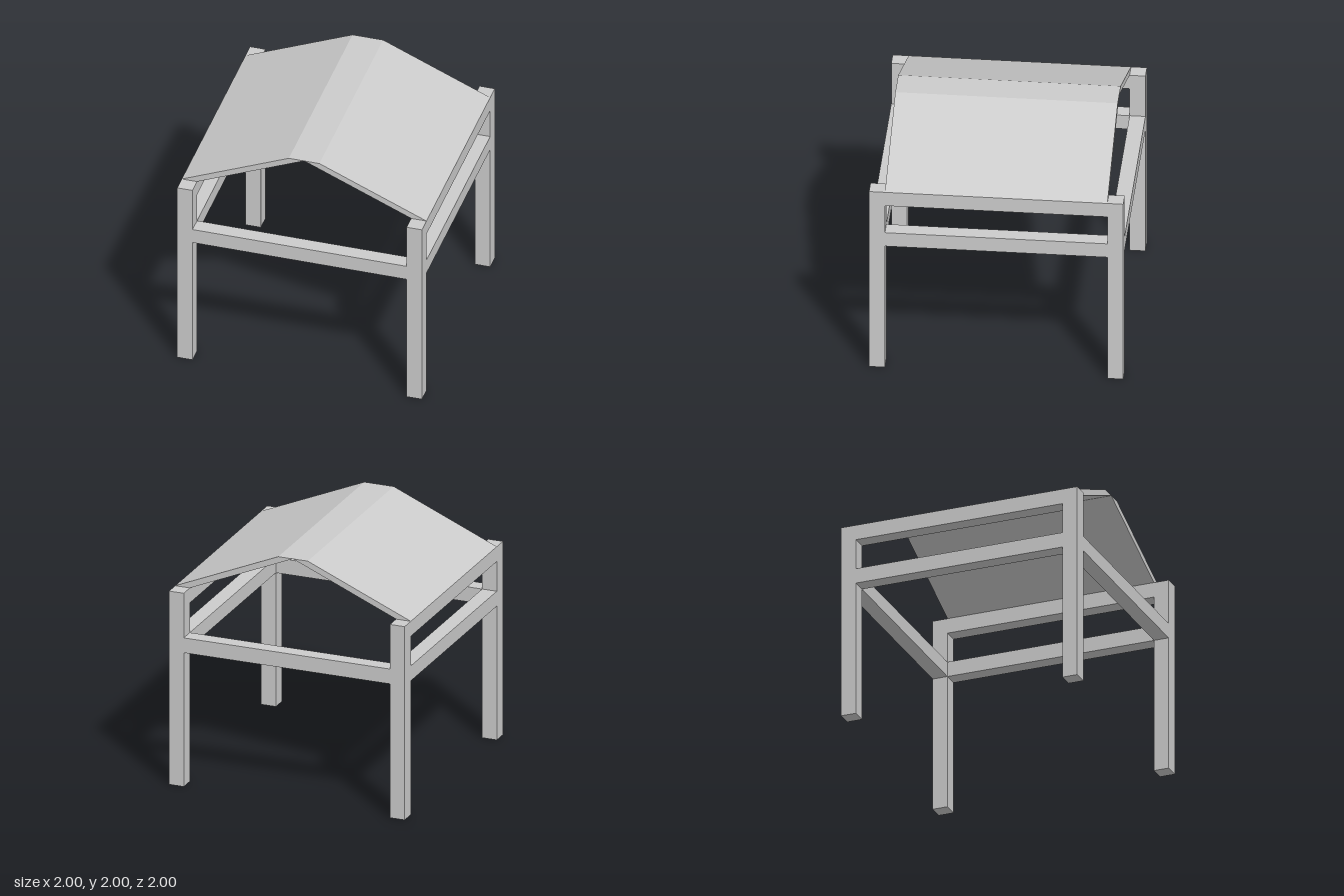
import * as THREE from 'three';

const T = 0.125;        // timber thickness
const C = 1 - T / 2;    // centre line of posts and beams
const SPAN = 2 - 2 * T; // clear distance between posts
const EAVE = 1.625;     // top of the posts

export function createModel() {
  const group = new THREE.Group();
  const material = new THREE.MeshStandardMaterial({ color: 0xcccccc, flatShading: true });

  const add = (name, geometry, x = 0, y = 0, z = 0) => {
    const mesh = new THREE.Mesh(geometry, material);
    mesh.name = name;
    mesh.position.set(x, y, z);
    group.add(mesh);
  };

  for (const s of [-1, 1]) {
    const side = s > 0 ? 'left' : 'right';
    const end = s > 0 ? 'front' : 'back';

    // Corner posts
    for (const e of [-1, 1]) {
      add(`${side}${e > 0 ? 'Front' : 'Back'}Post`, new THREE.BoxGeometry(T, EAVE, T), s * C, EAVE / 2, e * C);
    }

    // Middle rails on all four sides, eave beams on left and right
    add(`${end}Rail`, new THREE.BoxGeometry(SPAN, T, T), 0, 1.1875, s * C);
    add(`${side}Rail`, new THREE.BoxGeometry(T, T, SPAN), s * C, 1.1875, 0);
    add(`${side}EaveBeam`, new THREE.BoxGeometry(T, T, SPAN), s * C, EAVE - T / 2, 0);

    // Sloping roof slab, cut level at the eave and at the ridge
    const profile = new THREE.Shape([
      new THREE.Vector2(s, EAVE),
      new THREE.Vector2(s * (1 - T), EAVE),
      new THREE.Vector2(0, 2),
      new THREE.Vector2(s * T, 2),
    ]);
    const slab = new THREE.ExtrudeGeometry(profile, { depth: SPAN, bevelEnabled: false });
    add(`${side}RoofSlab`, slab, 0, 0, -SPAN / 2);
  }

  return group;
}
